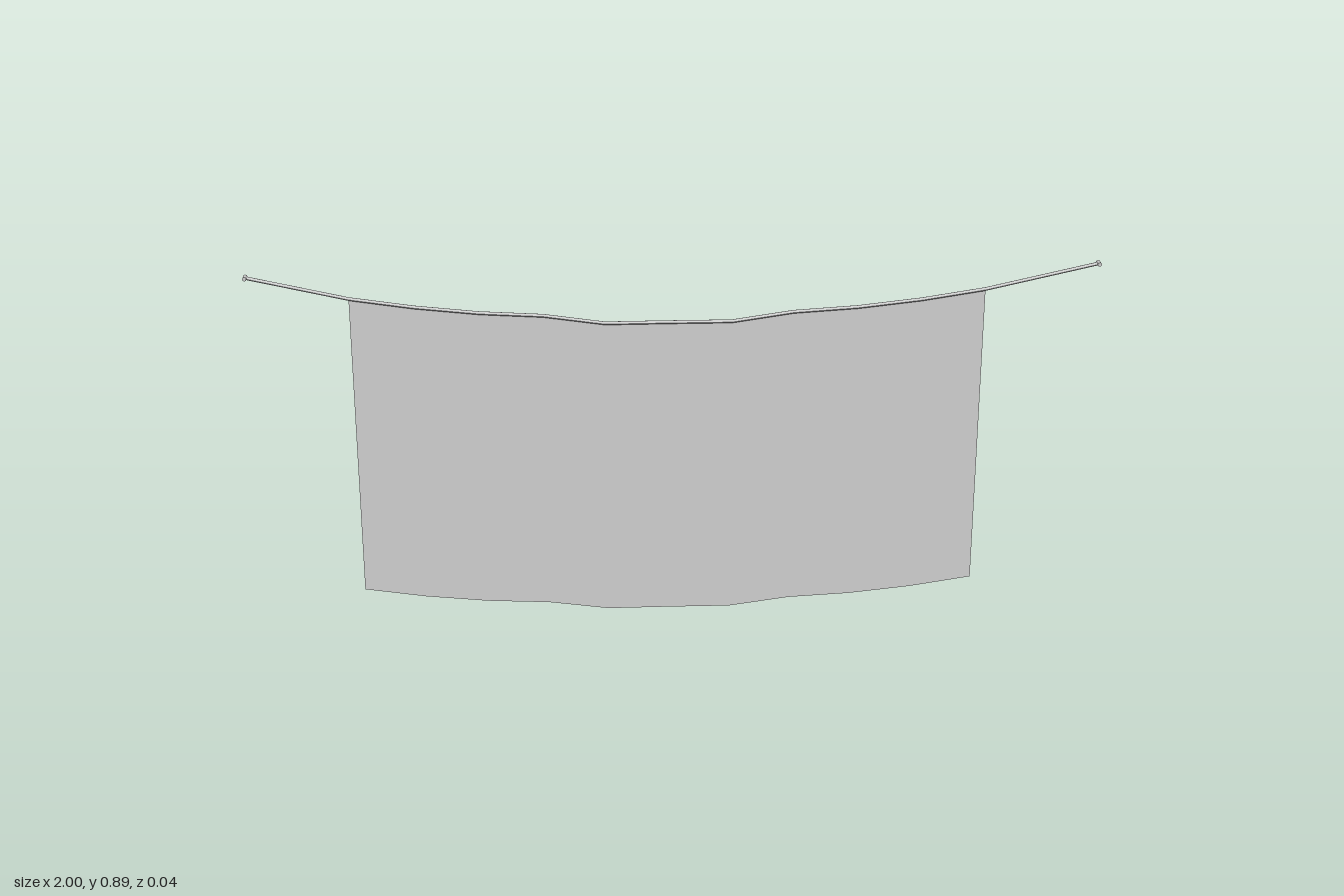
import * as THREE from 'three';

// Sagging line the cloth hangs from: x, y, z
const line = [
  [-0.995, 0.884, 0.01], [-0.76, 0.829, 0.01], [-0.61, 0.806, 0.01], [-0.46, 0.787, 0.003],
  [-0.31, 0.774, -0.008], [-0.165, 0.75, -0.016], [-0.015, 0.75, -0.017], [0.135, 0.75, -0.016],
  [0.28, 0.774, -0.008], [0.43, 0.787, 0.003], [0.58, 0.806, 0.01], [0.73, 0.829, 0.01], [0.995, 0.888, 0.01],
];

// Sweeps a list of [dy, dz] offsets along the given stations
function sweep(stations, section) {
  const n = section.length, pos = [], idx = [];
  for (const [x, y, z] of stations) for (const [dy, dz] of section) pos.push(x, y + dy, z + dz);
  for (let i = 0; i < stations.length - 1; i++) {
    for (let j = 0; j < n - 1; j++) {
      const a = i * n + j, b = a + n;
      idx.push(a, a + 1, b, b, a + 1, b + 1);
    }
  }
  const g = new THREE.BufferGeometry();
  g.setAttribute('position', new THREE.Float32BufferAttribute(pos, 3));
  g.setIndex(idx);
  g.computeVertexNormals();
  return g;
}

export function createModel() {
  const group = new THREE.Group();
  const material = new THREE.MeshStandardMaterial({ color: 0xcccccc, side: THREE.DoubleSide });
  const add = (name, geometry) => {
    const mesh = new THREE.Mesh(geometry, material);
    mesh.name = name;
    group.add(mesh);
    return mesh;
  };

  // Cloth: one thin sheet hanging straight down from the inner stations
  add('cloth', sweep(line.slice(1, -1), [[0, 0], [-0.749, 0]]));

  // Rope: slightly flattened round section, closed on itself
  const section = [];
  for (let j = 0; j <= 8; j++) {
    const a = (j / 8) * Math.PI * 2;
    section.push([0.004 * Math.sin(a), 0.0065 * Math.cos(a)]);
  }
  add('rope', sweep(line, section));

  // Small cross pegs at both rope ends
  for (const [name, p] of [['rightEndPeg', line[0]], ['leftEndPeg', line[line.length - 1]]]) {
    const peg = add(name, new THREE.CylinderGeometry(0.005, 0.005, 0.021, 8));
    peg.rotation.x = Math.PI / 2;
    peg.position.set(...p);
  }
  return group;
}
